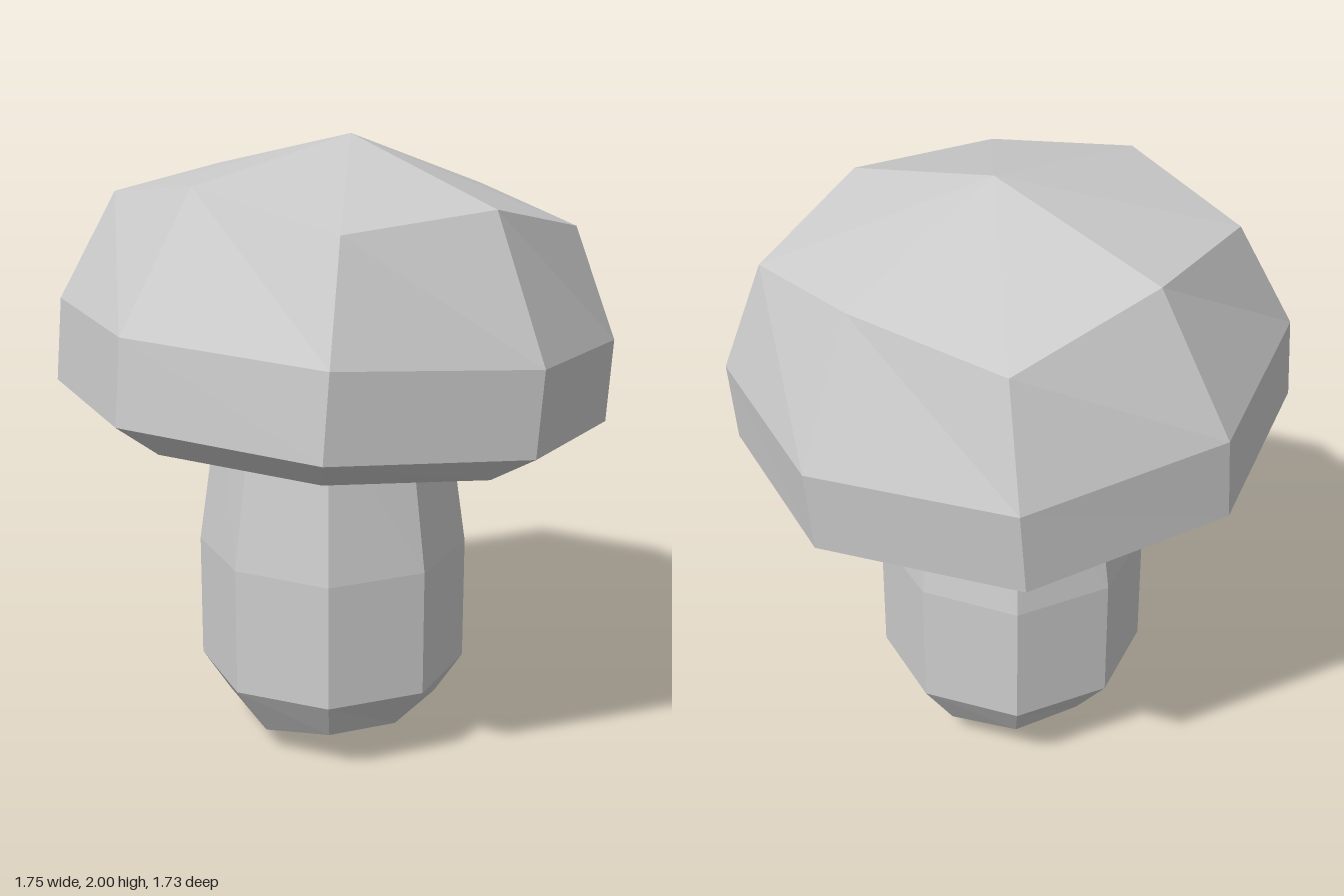
import * as THREE from 'three';

const SIDES = 8;

// Closed faceted body from octagonal rings, listed from the lower centre to the upper centre.
// Ring: side radius, corner radius, height at +-x sides, at +-z sides, at corners.
function facetedBody(name, bottomY, rings, topY) {
  const positions = [0, bottomY, 0];
  for (const [side, corner, yx, yz = yx, yc = yx] of rings) {
    for (let k = 0; k < SIDES; k++) {
      const a = (k / SIDES) * Math.PI * 2;
      const isCorner = k % 2 === 1;
      const r = isCorner ? corner : side;
      const y = isCorner ? yc : k % 4 === 0 ? yx : yz;
      positions.push(r * Math.cos(a), y, r * Math.sin(a));
    }
  }
  const top = positions.length / 3;
  positions.push(0, topY, 0);

  const at = (ring, k) => 1 + ring * SIDES + (k % SIDES);
  const index = [];
  for (let k = 0; k < SIDES; k++) {
    index.push(0, at(0, k), at(0, k + 1));
    for (let i = 0; i < rings.length - 1; i++) {
      const a = at(i, k), b = at(i, k + 1), c = at(i + 1, k + 1), d = at(i + 1, k);
      index.push(a, d, c, a, c, b);
    }
    index.push(top, at(rings.length - 1, k + 1), at(rings.length - 1, k));
  }

  const geometry = new THREE.BufferGeometry();
  geometry.setAttribute('position', new THREE.Float32BufferAttribute(positions, 3));
  geometry.setIndex(index);
  const flat = geometry.toNonIndexed();
  flat.computeVertexNormals();
  const material = new THREE.MeshStandardMaterial({ color: 0xcccccc, flatShading: true });
  const mesh = new THREE.Mesh(flat, material);
  mesh.name = name;
  return mesh;
}

export function createModel() {
  const group = new THREE.Group();
  group.name = 'mushroom';

  // Stem: pointed foot, straight middle, narrowing up into the cap
  const stem = facetedBody('stem', 0, [
    [0.3, 0.346, 0.075, 0.105, 0.125],
    [0.423, 0.438, 0.25, 0.255, 0.26],
    [0.423, 0.438, 0.67],
    [0.345, 0.362, 1.2],
  ], 1.25);
  stem.position.x = -0.01;
  group.add(stem);

  // Cap: hollow underside, thick lip and domed top, leaning to one side
  const cap = facetedBody('cap', 0.2, [
    [0.47, 0.475, 0.07],
    [0.7, 0.707, 0],
    [0.865, 0.888, 0.1],
    [0.867, 0.888, 0.367],
    [0.63, 0.73, 0.795, 0.795, 0.72],
  ], 0.955);
  cap.position.set(-0.025, 1.05, 0);
  cap.rotation.z = -0.1;
  group.add(cap);

  return group;
}
